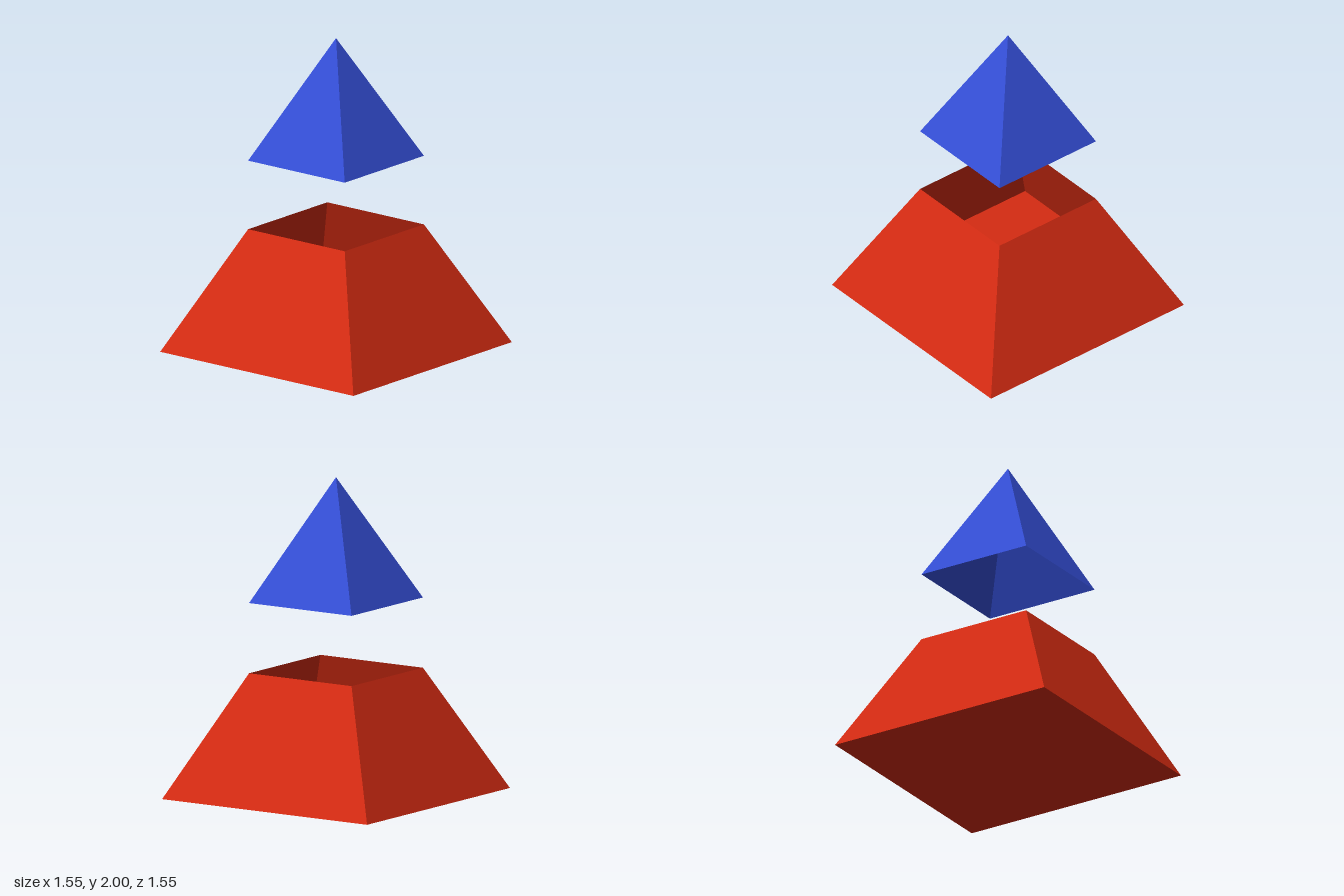
import * as THREE from 'three';

// Hollow four-sided shell, given half widths at top and bottom
function squareShell(name, topHalf, bottomHalf, height, baseY, material) {
  const r = Math.SQRT2;
  const geometry = new THREE.CylinderGeometry(topHalf * r, bottomHalf * r, height, 4, 1, true);
  geometry.rotateY(Math.PI / 4);
  geometry.translate(0, baseY + height / 2, 0);
  const mesh = new THREE.Mesh(geometry, material);
  mesh.name = name;
  return mesh;
}

export function createModel() {
  const model = new THREE.Group();
  model.name = 'splitPyramid';
  const paint = (color) => new THREE.MeshStandardMaterial({ color, flatShading: true, side: THREE.DoubleSide });
  const red = paint(0xd52b12);
  const blue = paint(0x344ed6);
  const half = 0.777;
  const height = 0.778;

  // Lower frustum: sloped walls, open at the top, closed by a floor
  const base = new THREE.Group();
  base.name = 'base';
  base.add(squareShell('baseWalls', half / 2, half, height, 0, red));
  const floor = new THREE.Mesh(new THREE.PlaneGeometry(2 * half, 2 * half).rotateX(Math.PI / 2), red);
  floor.name = 'baseFloor';
  base.add(floor);
  model.add(base);

  // Floating tip, open underneath
  model.add(squareShell('tip', 0, half / 2, height, 2 - height, blue));
  return model;
}
